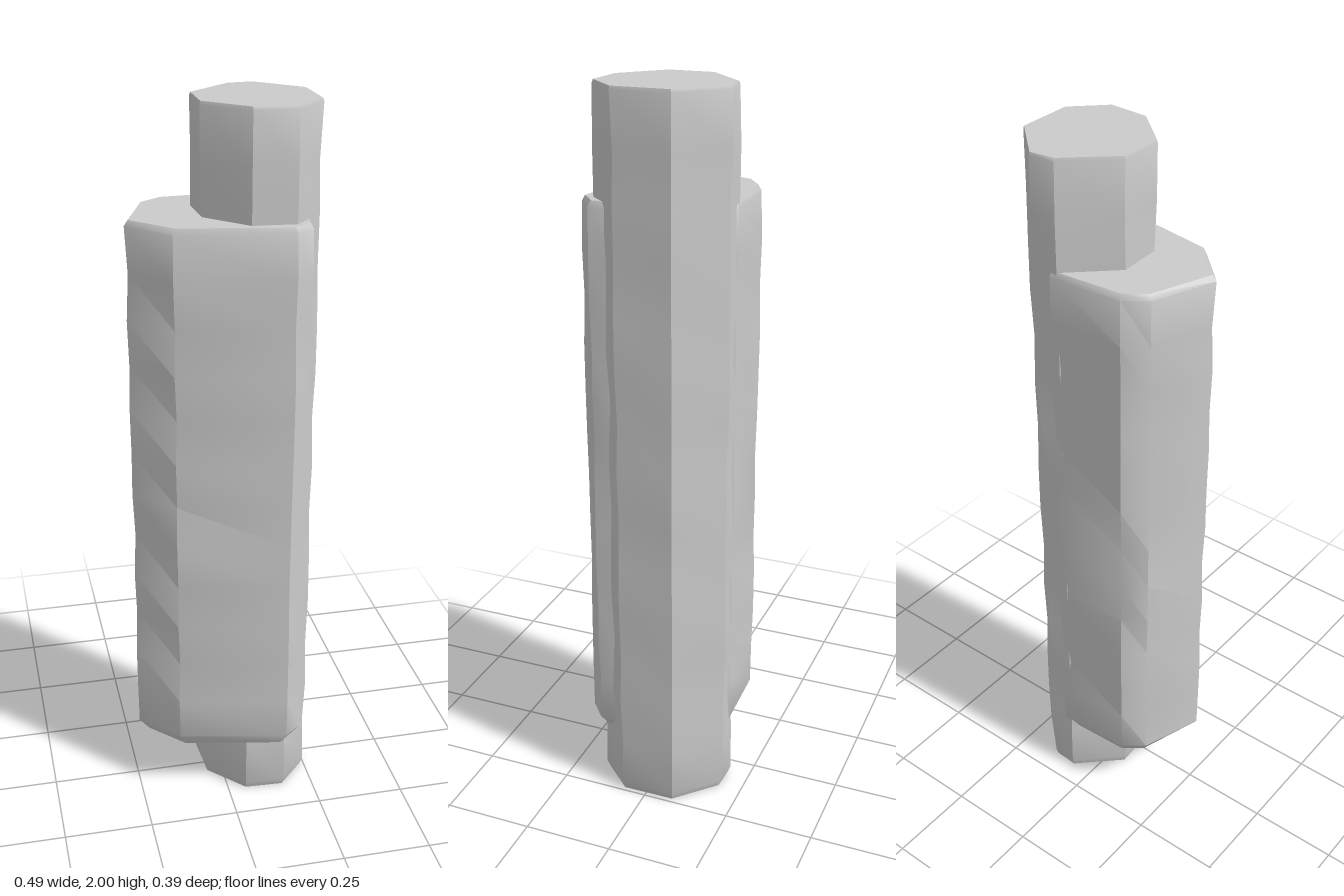
import * as THREE from 'three';
import { toCreasedNormals } from 'three/addons/utils/BufferGeometryUtils.js';

const material = new THREE.MeshStandardMaterial({ color: 0xcccccc });

// Small repeatable unevenness along the height of each edge
const wobble = (i, y) => 0.004 * Math.sin(i * 2.4 + y * 9) + 0.003 * Math.sin(i * 5.1 + y * 17);

// Upright prism: outline points [x, z], rings [y, scale], closed at both ends
function roughPrism(name, outline, rings) {
  const n = outline.length;
  const cx = outline.reduce((s, p) => s + p[0], 0) / n;
  const cz = outline.reduce((s, p) => s + p[1], 0) / n;
  const positions = [], index = [];
  for (const [y, scale] of rings) {
    outline.forEach(([x, z], i) => {
      const dx = x - cx, dz = z - cz;
      const k = scale - Math.abs(wobble(i, y)) / Math.hypot(dx, dz);
      positions.push(cx + dx * k, y, cz + dz * k);
    });
  }
  const last = rings.length - 1;
  const bottom = rings.length * n, top = bottom + 1;
  positions.push(cx, rings[0][0], cz, cx, rings[last][0], cz);
  for (let i = 0; i < n; i++) {
    const j = (i + 1) % n;
    for (let r = 0; r < last; r++) {
      const a = r * n + i, b = a + n, c = (r + 1) * n + j, d = r * n + j;
      index.push(a, b, c, a, c, d);
    }
    index.push(bottom, i, j, top, last * n + j, last * n + i);
  }
  const geometry = new THREE.BufferGeometry();
  geometry.setAttribute('position', new THREE.Float32BufferAttribute(positions, 3));
  geometry.setIndex(index);
  const mesh = new THREE.Mesh(toCreasedNormals(geometry, 0.6), material);
  mesh.name = name;
  return mesh;
}

// Rings between two heights, with softened ends
function ringsBetween(y0, y1, bevel0, scale0, bevel1, scale1, steps) {
  const rings = [[y0, scale0]];
  for (let i = 0; i <= steps; i++) {
    rings.push([THREE.MathUtils.lerp(y0 + bevel0, y1 - bevel1, i / steps), 1]);
  }
  rings.push([y1, scale1]);
  return rings;
}

export function createModel() {
  const group = new THREE.Group();
  group.name = 'postWithSleeve';

  // Tall eight-sided post
  group.add(roughPrism('post', [
    [-0.06, -0.08], [0.06, -0.195], [0.13, -0.198], [0.247, -0.085],
    [0.247, 0.072], [0.165, 0.157], [0.05, 0.152], [-0.058, 0.045],
  ], ringsBetween(0, 2, 0.022, 0.95, 0.008, 0.985, 14)));

  // Shorter slab wrapped around one side of the post
  group.add(roughPrism('sleeve', [
    [-0.248, 0.03], [-0.187, -0.145], [-0.13, -0.191], [0.08, -0.198],
    [0.2, -0.08], [0.212, 0.105], [0.21, 0.155], [0.16, 0.197], [-0.145, 0.137],
  ], ringsBetween(0.175, 1.715, 0.035, 0.9, 0.015, 0.965, 12)));

  return group;
}
